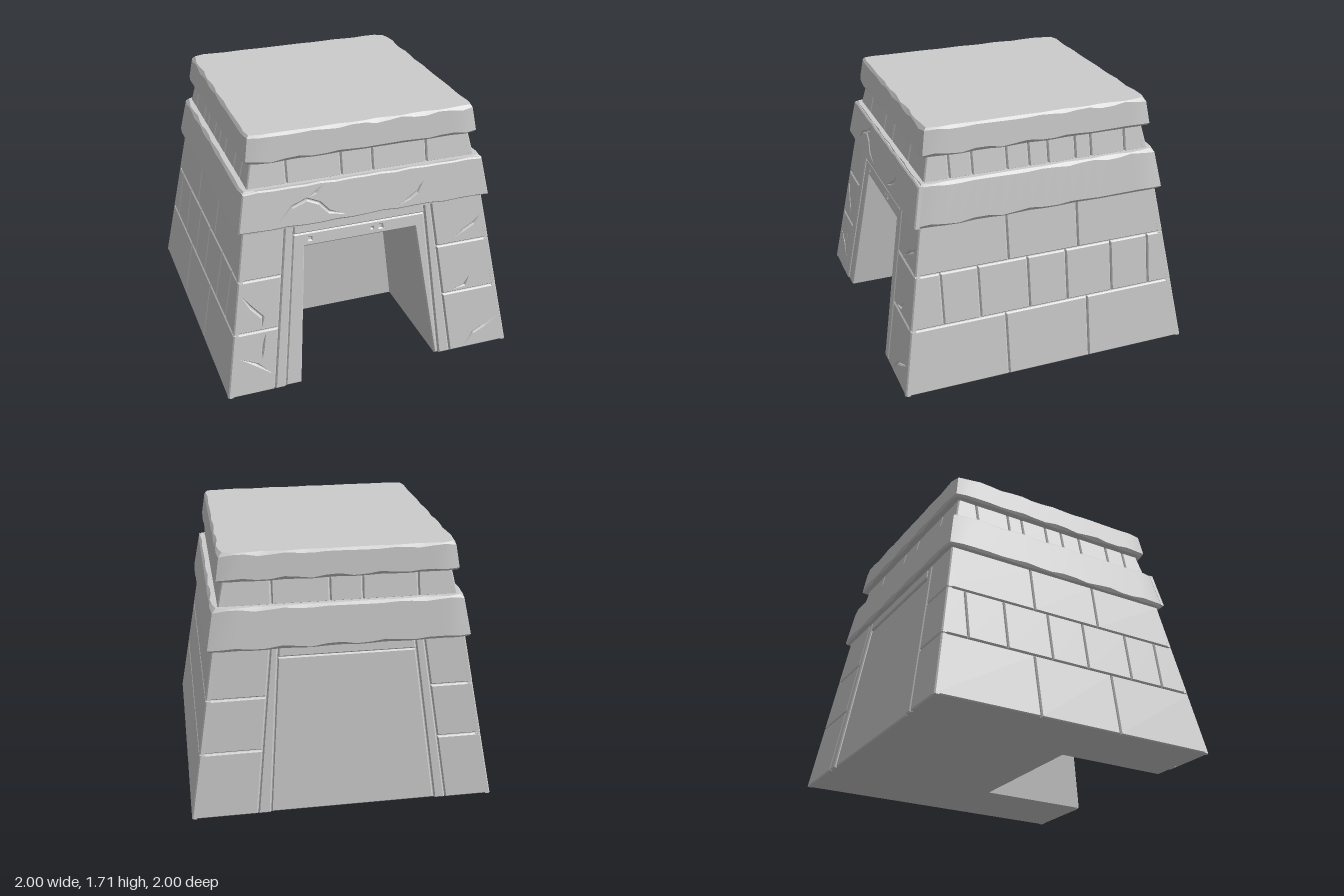
import * as THREE from 'three';
import { toCreasedNormals } from 'three/addons/utils/BufferGeometryUtils.js';

const stone = new THREE.MeshStandardMaterial({ color: 0xcccccc });
const BEVEL = 0.008, GAP = 0.003, THICK = 0.04, INSET = 0.02;

// Sloping wall: half width as a linear function of height
const slope = (y0, h0, y1, h1) => (y) => h0 + ((h1 - h0) * (y - y0)) / (y1 - y0);
const bodyHalf = slope(0, 1, 1.1, 0.817);
const ledgeHalf = slope(1.1, 0.86, 1.37, 0.81);
const neckHalf = slope(1.37, 0.765, 1.53, 0.73);
const capHalf = slope(1.53, 0.783, 1.71, 0.755);

// Leaning vertical joints beside the doorway, as x at a given height
const outerL = slope(0, -0.685, 1.1, -0.545), innerL = slope(0, -0.61, 1.1, -0.485);
const outerR = slope(0, 0.57, 1.1, 0.45), innerR = slope(0, 0.485, 1.1, 0.4);
const doorL = slope(0, -0.5, 0.94, -0.42), doorR = slope(0, 0.46, 0.94, 0.34);

const chip = (s) => 0.5 + 0.28 * Math.sin(s * 1.7 + 1) + 0.22 * Math.sin(s * 4.3 + 2);

function add(group, name, geometry) {
  const mesh = new THREE.Mesh(geometry, stone);
  mesh.name = name;
  group.add(mesh);
  return mesh;
}

// Narrow tapered outline along a polyline, cut as a crack
function crack(points, w = 0.004) {
  const p = points.map(([x, y]) => new THREE.Vector2(x, y));
  const left = [], right = [];
  for (let i = 1; i < p.length - 1; i++) {
    const d = p[i + 1].clone().sub(p[i - 1]).normalize();
    const n = new THREE.Vector2(-d.y, d.x).multiplyScalar(w);
    left.push(p[i].clone().add(n));
    right.unshift(p[i].clone().sub(n));
  }
  return new THREE.Path([p[0], ...left, p[p.length - 1], ...right]);
}

const square = (x, y, r) =>
  new THREE.Path([[-r, -r], [-r, r], [r, r], [r, -r]].map(([a, b]) => new THREE.Vector2(x + a, y + b)));

// Bevelled facing stone laid on one sloping wall (turn: 0 front, 1 right, 2 back, 3 left)
function facing(group, name, turn, half, outline, { holes = [], recess = 0 } = {}) {
  const shape = new THREE.Shape(outline.map(([x, y]) => new THREE.Vector2(x, y)));
  shape.holes.push(...holes);
  const depth = THICK - 2 * BEVEL;
  const g = new THREE.ExtrudeGeometry(shape, {
    depth, bevelEnabled: true, bevelSegments: 1, bevelSize: BEVEL, bevelThickness: BEVEL, bevelOffset: -BEVEL,
  });
  const pos = g.attributes.position;
  for (let i = 0; i < pos.count; i++) {
    pos.setZ(i, pos.getZ(i) - depth - BEVEL - recess + half(pos.getY(i)));
  }
  g.computeVertexNormals();
  g.rotateY((turn * Math.PI) / 2);
  return add(group, name, g);
}

// Four-sided stone between two edge functions
const block = (l, r, y0, y1) => [
  [l(y0) + GAP, y0 && y0 + GAP], [r(y0) - GAP, y0 && y0 + GAP], [r(y1) - GAP, y1 - GAP], [l(y1) + GAP, y1 - GAP],
];

// A full course of stones split at the given joints
function course(group, name, turn, half, y0, y1, joints) {
  const edges = [(y) => -half(y) - GAP, ...joints.map((u) => () => u), (y) => half(y) + GAP];
  for (let i = 0; i < edges.length - 1; i++) {
    facing(group, name, turn, half, block(edges[i], edges[i + 1], y0, y1));
  }
}

// Square slab with worn, uneven edges, built from cross-section rings
function wornSlab(group, name, half, y0, y1, frontInset = 0) {
  const n = 18, count = 4 * n, verts = [], index = [];
  for (let k = 0; k < 4; k++) {
    for (let i = 0; i < count; i++) {
      const c = 0.006 + 0.02 * chip(i + (k > 1 ? 31 : 0));
      const y = [y0, y0 + c, y1 - c, y1][k];
      const t = ((i % n) / n) * 2 - 1;
      let h = half(y) - (k % 3 === 0 ? c * 0.8 : 0);
      if (i % n === 0) h -= 0.012;
      const a = (Math.floor(i / n) * Math.PI) / 2, u = t * h;
      const x = u * Math.cos(a) + h * Math.sin(a);
      const z = h * Math.cos(a) - u * Math.sin(a);
      verts.push(x, y, Math.min(z, half(y) - frontInset));
    }
  }
  for (let k = 0; k < 3; k++) {
    for (let i = 0; i < count; i++) {
      const j = (i + 1) % count, a = k * count + i, b = k * count + j;
      index.push(a, b, b + count, a, b + count, a + count);
    }
  }
  verts.push(0, y0, 0, 0, y1, 0);
  for (let i = 0; i < count; i++) {
    const j = (i + 1) % count;
    index.push(4 * count, j, i, 4 * count + 1, 3 * count + i, 3 * count + j);
  }
  const g = new THREE.BufferGeometry();
  g.setAttribute('position', new THREE.Float32BufferAttribute(verts, 3));
  g.setIndex(index);
  return add(group, name, toCreasedNormals(g, 0.45));
}

// Solid behind the facing stones, running between two depths
function core(group, name, outline, zBack, zFront) {
  const g = new THREE.ExtrudeGeometry(new THREE.Shape(outline.map(([x, y]) => new THREE.Vector2(x, y))),
    { depth: 1, bevelEnabled: false });
  const pos = g.attributes.position;
  for (let i = 0; i < pos.count; i++) {
    const y = pos.getY(i);
    pos.setZ(i, THREE.MathUtils.lerp(zBack(y), zFront(y), pos.getZ(i)));
  }
  g.computeVertexNormals();
  add(group, name, g);
}

export function createModel() {
  const model = new THREE.Group();
  model.name = 'stoneShrine';
  const part = (name) => {
    const g = new THREE.Group();
    g.name = name;
    model.add(g);
    return g;
  };

  // Inner walls with the doorway recess
  const walls = part('walls');
  const inner = (y) => bodyHalf(y) - INSET;
  const top = 1.11, recessZ = () => 0.19;
  core(walls, 'rearCore', [[-inner(0), 0], [inner(0), 0], [inner(top), top], [-inner(top), top]],
    (y) => -inner(y), recessZ);
  core(walls, 'doorwayCore', [[-inner(0), 0], [doorL(0), 0], [doorL(0.94), 0.94], [doorR(0.94), 0.94],
    [doorR(0), 0], [inner(0), 0], [inner(top), top], [-inner(top), top]], recessZ, inner);

  // Side courses, mirrored left to right
  const rows = [[0, 0.43], [0.43, 0.78], [0.78, 1.11]];
  const sideJoints = [[-0.29, 0.29], [-0.71, -0.46, -0.12, 0.15, 0.475, 0.75], [-0.25, 0.24]];
  const mirror = (list) => list.map((u) => -u).reverse();
  rows.forEach(([y0, y1], i) => {
    course(walls, 'sideStone', 1, bodyHalf, y0, y1, sideJoints[i]);
    course(walls, 'sideStone', 3, bodyHalf, y0, y1, mirror(sideJoints[i]));
  });

  // Corner stones and door pillars, front and back
  const cracksL = [
    [crack([[-0.9, 0.26], [-0.79, 0.2], [-0.7, 0.12]]), crack([[-0.72, 0.4], [-0.745, 0.31], [-0.755, 0.235]])],
    [crack([[-0.86, 0.69], [-0.8, 0.6], [-0.73, 0.52], [-0.74, 0.46]])],
    [],
  ];
  const cracksR = [
    [crack([[0.69, 0.03], [0.75, 0.1], [0.84, 0.14], [0.93, 0.185]])],
    [crack([[0.61, 0.45], [0.69, 0.47], [0.72, 0.52]])],
    [crack([[0.61, 0.81], [0.68, 0.86], [0.76, 0.9], [0.81, 0.95]])],
  ];
  const edgeL = (y) => -bodyHalf(y) - GAP, edgeR = (y) => bodyHalf(y) + GAP;
  const flip = (outline) => outline.map(([x, y]) => [-x, y]).reverse();
  rows.forEach(([y0, y1], i) => {
    const l = block(edgeL, outerL, y0, y1), r = block(outerR, edgeR, y0, y1);
    facing(walls, 'cornerStone', 0, bodyHalf, l, { holes: cracksL[i] });
    facing(walls, 'cornerStone', 0, bodyHalf, r, { holes: cracksR[i] });
    for (const o of [l, r]) facing(walls, 'cornerStone', 2, bodyHalf, flip(o));
  });
  const doorway = part('doorway');
  for (const o of [block(outerL, innerL, 0, top), block(innerR, outerR, 0, top)]) {
    facing(doorway, 'doorPillar', 0, bodyHalf, o);
    facing(doorway, 'rearPillar', 2, bodyHalf, flip(o));
  }

  // Door frame with small carved squares, header strips and rear panel
  const headY = 1.03, header = block(innerL, innerR, headY, top);
  const [bl, br, tr, tl] = block(innerL, innerR, 0, headY);
  facing(doorway, 'doorFrame', 0, bodyHalf,
    [bl, [doorL(0), 0], [doorL(0.94), 0.94], [doorR(0.94), 0.94], [doorR(0), 0], br, tr, tl],
    { recess: 0.01, holes: [square(-0.38, 0.985, 0.008), square(0.04, 0.985, 0.004), square(0.1, 0.985, 0.01)] });
  facing(doorway, 'doorHeader', 0, bodyHalf, header);
  facing(doorway, 'rearHeader', 2, bodyHalf, flip(header));
  facing(doorway, 'rearPanel', 2, bodyHalf, flip([bl, br, tr, tl]), { recess: 0.01 });

  // Overhanging ledge with a cracked front
  const ledge = part('ledge');
  wornSlab(ledge, 'ledgeSlab', ledgeHalf, 1.1, 1.37, 0.012);
  const front = [];
  for (let i = 0; i <= 16; i++) front.push([(i / 8 - 1) * 0.85, 1.102 + 0.014 * chip(i * 1.3)]);
  for (let i = 16; i >= 0; i--) front.push([(i / 8 - 1) * 0.804, 1.368 - 0.008 * chip(i * 1.9)]);
  facing(ledge, 'ledgeFront', 0, ledgeHalf, front, {
    holes: [crack([[-0.58, 1.16], [-0.5, 1.235], [-0.4, 1.27], [-0.32, 1.235], [-0.26, 1.17], [-0.15, 1.135]]),
      crack([[-0.38, 1.285], [-0.34, 1.305], [-0.3, 1.34]]),
      crack([[0.21, 1.13], [0.29, 1.17], [0.34, 1.2], [0.38, 1.26]])],
  });

  // Neck course of small stones
  const neck = part('neck');
  const neckInner = (y) => neckHalf(y) - INSET;
  core(neck, 'neckCore', [[-neckInner(1.36), 1.36], [neckInner(1.36), 1.36], [neckInner(1.54), 1.54], [-neckInner(1.54), 1.54]],
    (y) => -neckInner(y), neckInner);
  const frontJoints = [-0.51, -0.15, 0.06, 0.43];
  const flankJoints = [-0.6, -0.45, -0.22, -0.07, 0.06, 0.25, 0.36, 0.6];
  [frontJoints, flankJoints, mirror(frontJoints), mirror(flankJoints)].forEach((joints, turn) =>
    course(neck, 'neckStone', turn, neckHalf, 1.36, 1.54, joints));

  // Roof slab
  wornSlab(model, 'roofSlab', capHalf, 1.53, 1.71);
  return model;
}
